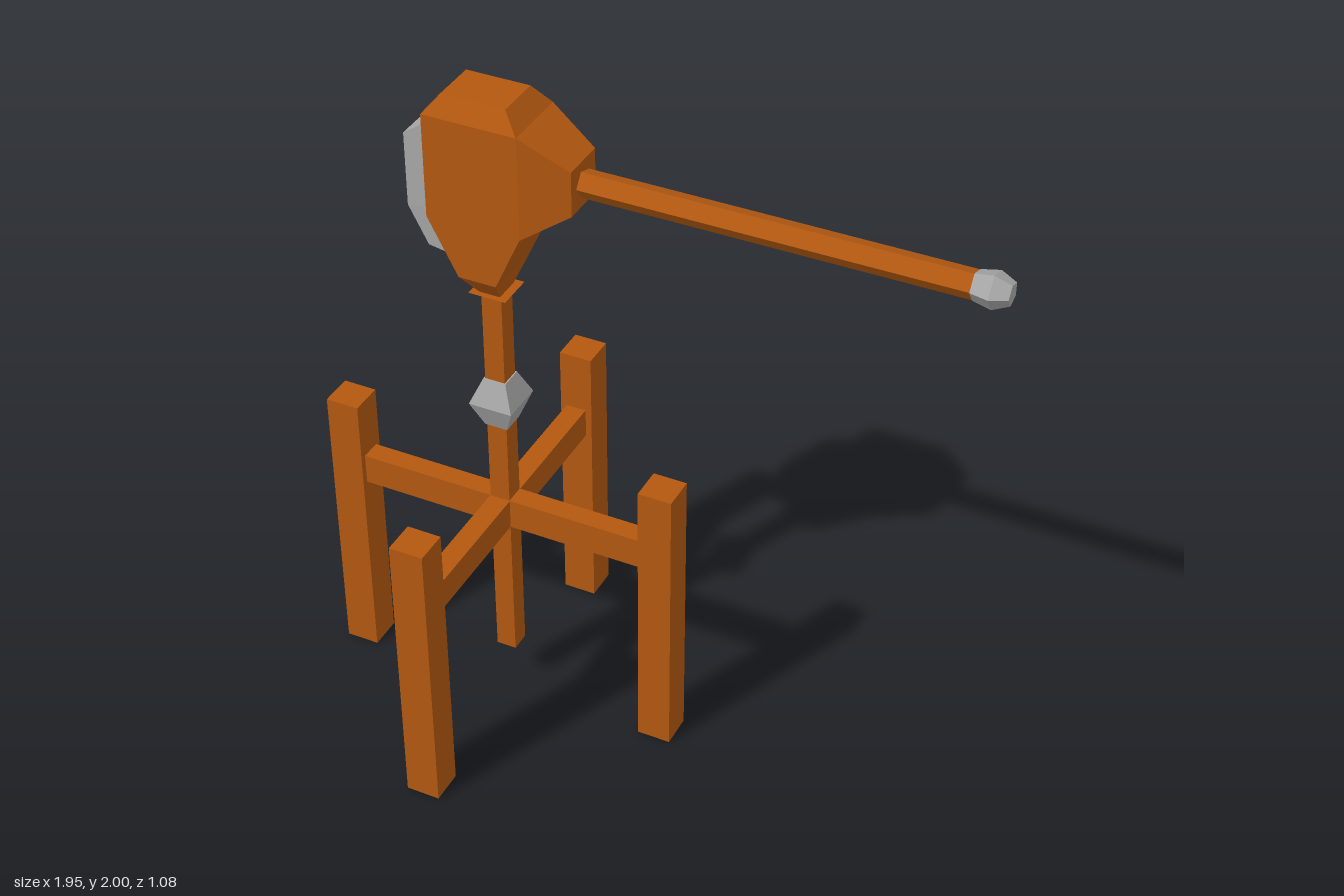
import * as THREE from 'three';

const brown = new THREE.MeshStandardMaterial({ color: 0xb35810, flatShading: true, side: THREE.DoubleSide });
brown.name = 'brown wood';
const grey = new THREE.MeshStandardMaterial({ color: 0xa6a6a6, flatShading: true, side: THREE.DoubleSide });
grey.name = 'grey metal';

const CX = -0.435; // x of the upright axis
const ARM_Y = 1.8;

// Skin a stack of rings, counter-clockwise seen from the stacking direction, with flat caps
function loft(rings) {
  const pos = [];
  const tri = (a, b, c) => pos.push(...a, ...b, ...c);
  const n = rings[0].length;
  const last = rings[rings.length - 1];
  for (let r = 0; r < rings.length - 1; r++) {
    for (let i = 0; i < n; i++) {
      const j = (i + 1) % n;
      const a = rings[r], b = rings[r + 1];
      tri(a[i], a[j], b[j]);
      tri(a[i], b[j], b[i]);
    }
  }
  for (let i = 1; i < n - 1; i++) {
    tri(rings[0][0], rings[0][i + 1], rings[0][i]);
    tri(last[0], last[i], last[i + 1]);
  }
  const g = new THREE.BufferGeometry();
  g.setAttribute('position', new THREE.Float32BufferAttribute(pos, 3));
  g.computeVertexNormals();
  return g;
}

// Horizontal rectangle, for stacking along y
const rectY = (y, x0, x1, hz) => [[x1, y, hz], [x1, y, -hz], [x0, y, -hz], [x0, y, hz]];
// Square about the upright axis
const squareY = (y, h) => rectY(y, CX - h, CX + h, h);
// Rectangle and pentagon for stacking along x
const rectX = (x, y0, y1, hz) => [[x, y0, hz], [x, y0, -hz], [x, y1, -hz], [x, y1, hz]];
const pentX = (x, r) => Array.from({ length: 5 }, (_, i) => {
  const a = (i / 5) * Math.PI * 2;
  return [x, ARM_Y - r * Math.sin(a), r * Math.cos(a)];
});

// Box without its underside
function openBox(w, h, d) {
  const g = new THREE.BoxGeometry(w, h, d);
  const index = Array.from(g.index.array);
  index.splice(18, 6);
  g.setIndex(index);
  g.clearGroups();
  return g;
}

export function createModel() {
  const model = new THREE.Group();
  model.name = 'armedPost';
  const add = (name, geometry, material, x = 0, y = 0, z = 0) => {
    const mesh = new THREE.Mesh(geometry, material);
    mesh.name = name;
    mesh.position.set(x, y, z);
    model.add(mesh);
  };

  // Four legs around the post
  for (const [name, dx, dz] of [['leftLeg', 1, 0], ['rightLeg', -1, 0], ['frontLeg', 0, 1], ['backLeg', 0, -1]]) {
    add(name, openBox(0.1, 0.89, 0.1), brown, CX + dx * 0.49, 0.445, dz * 0.49);
  }

  // Crossed beams joining the legs
  add('sideBeam', new THREE.BoxGeometry(0.9, 0.094, 0.062), brown, CX, 0.66, 0);
  add('depthBeam', new THREE.BoxGeometry(0.062, 0.092, 0.9), brown, CX, 0.66, 0);

  // Upright post, its faceted knot and the flared collar
  add('post', new THREE.BoxGeometry(0.06, 1.25, 0.06), brown, CX, 0.775, 0);
  add('postKnot', loft([squareY(0.96, 0.034), squareY(1.04, 0.065), squareY(1.115, 0.034)]), grey);
  add('collar', loft([squareY(1.388, 0.03), squareY(1.403, 0.055)]), brown);

  // Head with bevelled top and tapered chin
  add('head', loft([
    rectY(1.4, -0.465, -0.405, 0.035),
    rectY(1.48, -0.49, -0.38, 0.1),
    rectY(1.645, -0.577, -0.305, 0.1),
    rectY(1.947, -0.577, -0.305, 0.1),
    rectY(2.0, -0.535, -0.35, 0.067),
  ]), brown);

  // Tapered socket holding the arm
  add('armSocket', loft([rectX(-0.305, 1.645, 1.947, 0.1), rectX(-0.17, 1.735, 1.865, 0.067)]), brown);

  // Five-sided arm and its faceted tip
  add('arm', loft([pentX(-0.18, 0.04), pentX(0.88, 0.04)]), brown);
  add('armTip', loft([pentX(0.875, 0.041), pentX(0.925, 0.052), pentX(0.97, 0.031)]), grey);

  // Counterweight plate wrapped round the rear of the head
  const weightRing = (xi, yi, xo, yo) => [[xi, yi, 0.062], [xi, yi, -0.062], [xo, yo, -0.05], [xo, yo, 0.05]];
  add('counterweight', loft([
    weightRing(-0.5, 1.512, -0.605, 1.52),
    weightRing(-0.572, 1.645, -0.662, 1.628),
    weightRing(-0.572, 1.91, -0.662, 1.845),
  ]), grey);

  return model;
}
